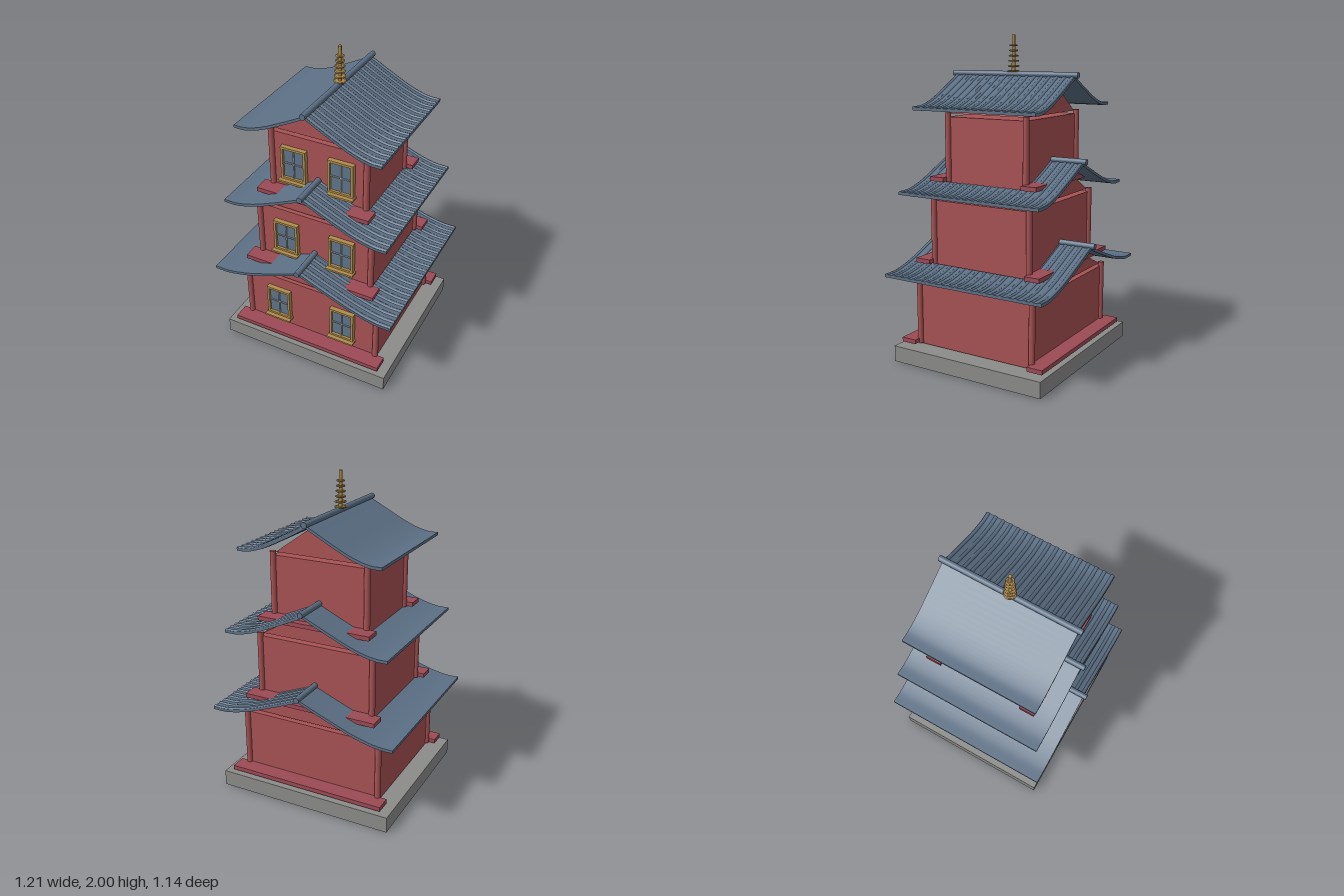
import * as THREE from 'three';
import { toCreasedNormals } from 'three/addons/utils/BufferGeometryUtils.js';

const material = (name, color) => {
  const m = new THREE.MeshStandardMaterial({ color });
  m.name = name;
  return m;
};

export function createModel() {
  const red = material('red wall', 0xa85253);
  const railRed = material('rail red', 0x9c4a55);
  const slate = material('slate roof', 0x5c7085);
  const gold = material('gold trim', 0xb08c4c);
  const glass = material('window glass', 0x5f7488);
  const bar = material('window bar', 0x98a3ac);
  const stone = material('grey stone', 0x8b8c8a);

  const model = new THREE.Group();
  model.name = 'pagoda';

  const add = (parent, name, geometry, mat, x = 0, y = 0, z = 0) => {
    const mesh = new THREE.Mesh(geometry, mat);
    mesh.name = name;
    mesh.position.set(x, y, z);
    parent.add(mesh);
    return mesh;
  };
  const box = (parent, name, mat, w, h, d, x, y, z) =>
    add(parent, name, new THREE.BoxGeometry(w, h, d), mat, x, y, z);

  // Sweep of one roof slope from ridge to upturned eave
  const slope = (side, w) => new THREE.CatmullRomCurve3(
    [[0, 0], [0.33, -0.08], [0.63, -0.145], [0.85, -0.173], [1, -0.174]].map(([u, y]) =>
      new THREE.Vector3(side * u * w, y - (side > 0 ? 0.008 * u : 0), 0)));

  // Framed window with a cross of bars and a sill, centred on its own origin
  const makeWindow = () => {
    const g = new THREE.Group();
    g.name = 'window';
    const w = 0.165, h = 0.22, t = 0.015;
    box(g, 'glass', glass, w - t, h - t, 0.009, 0, 0, 0.0095);
    box(g, 'verticalBar', bar, 0.008, h - t, 0.008, 0, 0, 0.017);
    box(g, 'horizontalBar', bar, w - t, 0.008, 0.008, 0, 0, 0.0165);
    for (const s of [-1, 1]) {
      box(g, 'frameSide', gold, t, h, 0.03, s * (w - t) / 2, 0, 0.015);
      box(g, 'frameEnd', gold, w - 2 * t, t, 0.03, 0, s * (h - t) / 2, 0.015);
    }
    box(g, 'sill', gold, w + 0.016, 0.012, 0.055, 0, -h / 2 - 0.004, 0.0275);
    return g;
  };

  const makeRoof = (w, d) => {
    const g = new THREE.Group();
    g.name = 'roof';
    // Curved slabs on both sides
    for (const side of [-1, 1]) {
      const pts = slope(side, w).getPoints(20);
      const shape = new THREE.Shape([
        ...pts.map(p => new THREE.Vector2(p.x, p.y + 0.008)),
        ...pts.reverse().map(p => new THREE.Vector2(p.x, p.y - 0.01))]);
      const slab = new THREE.ExtrudeGeometry(shape, { depth: 2 * d, bevelEnabled: false });
      slab.translate(0, 0, -d);
      add(g, 'roofSlab', toCreasedNormals(slab, 0.6), slate);
    }
    // Rounded tile ribs on one slope
    const path = slope(1, w);
    const rib = new THREE.TubeGeometry(path, 16, 0.013, 8);
    const end = path.getPoint(1);
    const cap = new THREE.CircleGeometry(0.013, 8).rotateY(Math.PI / 2);
    const reach = d - 0.013;
    const count = Math.round(2 * reach / 0.05);
    for (let i = 0; i <= count; i++) {
      const z = -reach + 2 * reach * i / count;
      add(g, 'tileRib', rib, slate, 0, 0.002, z);
      add(g, 'tileRibEnd', cap, slate, end.x, end.y + 0.002, z);
    }
    // Ridge roll
    const ridge = new THREE.CylinderGeometry(0.018, 0.018, 2 * d + 0.045, 16).rotateX(Math.PI / 2);
    add(g, 'ridge', ridge, slate, 0, 0.014, 0);
    return g;
  };

  // Stone platform
  box(model, 'platform', stone, 1.14, 0.1, 1.04, 0, 0.05, 0);

  // Storeys: post offsets in x and z, roof half width and half depth
  const storeys = [
    [0.455, 0.4, 0.607, 0.547],
    [0.38, 0.336, 0.535, 0.483],
    [0.31, 0.272, 0.464, 0.42]];
  storeys.forEach(([px, pz, roofW, roofD], i) => {
    const g = new THREE.Group();
    g.name = 'storey' + (i + 1);
    g.position.y = i * 0.505;
    model.add(g);

    box(g, 'walls', red, 2 * px, 0.4, 2 * pz, 0, 0.307, 0);
    const post = new THREE.CylinderGeometry(0.019, 0.019, 0.42, 16);
    for (const sz of [-1, 1]) {
      for (const sx of [-1, 1]) add(g, 'cornerPost', post, red, sx * px, 0.322, sz * pz);
      box(g, 'baseRail', railRed, 2 * px + 0.12, 0.027, 0.1, 0, 0.13, sz * (pz + 0.05));
    }

    // Gable block under the roof
    const tri = new THREE.Shape([
      new THREE.Vector2(-px + 0.015, 0.525),
      new THREE.Vector2(px - 0.015, 0.525),
      new THREE.Vector2(0, 0.735)]);
    const depth = 2 * pz - 0.015;
    const gable = new THREE.ExtrudeGeometry(tri, { depth, bevelEnabled: false });
    add(g, 'gable', gable, red, 0, 0, -depth / 2);

    for (const sx of [-1, 1]) {
      const win = makeWindow();
      win.position.set(sx * px * 0.5, 0.32, pz);
      g.add(win);
    }

    const roof = makeRoof(roofW, roofD);
    roof.position.y = 0.742;
    g.add(roof);
  });

  // Ringed finial
  const finial = new THREE.Group();
  finial.name = 'finial';
  model.add(finial);
  add(finial, 'finialPole', new THREE.CylinderGeometry(0.01, 0.012, 0.25, 12), gold, 0, 1.875, 0);
  for (let i = 0; i < 6; i++) {
    const ring = new THREE.TorusGeometry(0.033 - i * 0.0025, 0.005, 8, 20).rotateX(Math.PI / 2);
    add(finial, 'finialRing', ring, gold, 0, 1.783 + i * 0.031, 0);
    add(finial, 'finialDisc', new THREE.CylinderGeometry(0.033 - i * 0.0025, 0.033 - i * 0.0025, 0.004, 20),
      gold, 0, 1.783 + i * 0.031, 0);
  }
  return model;
}
